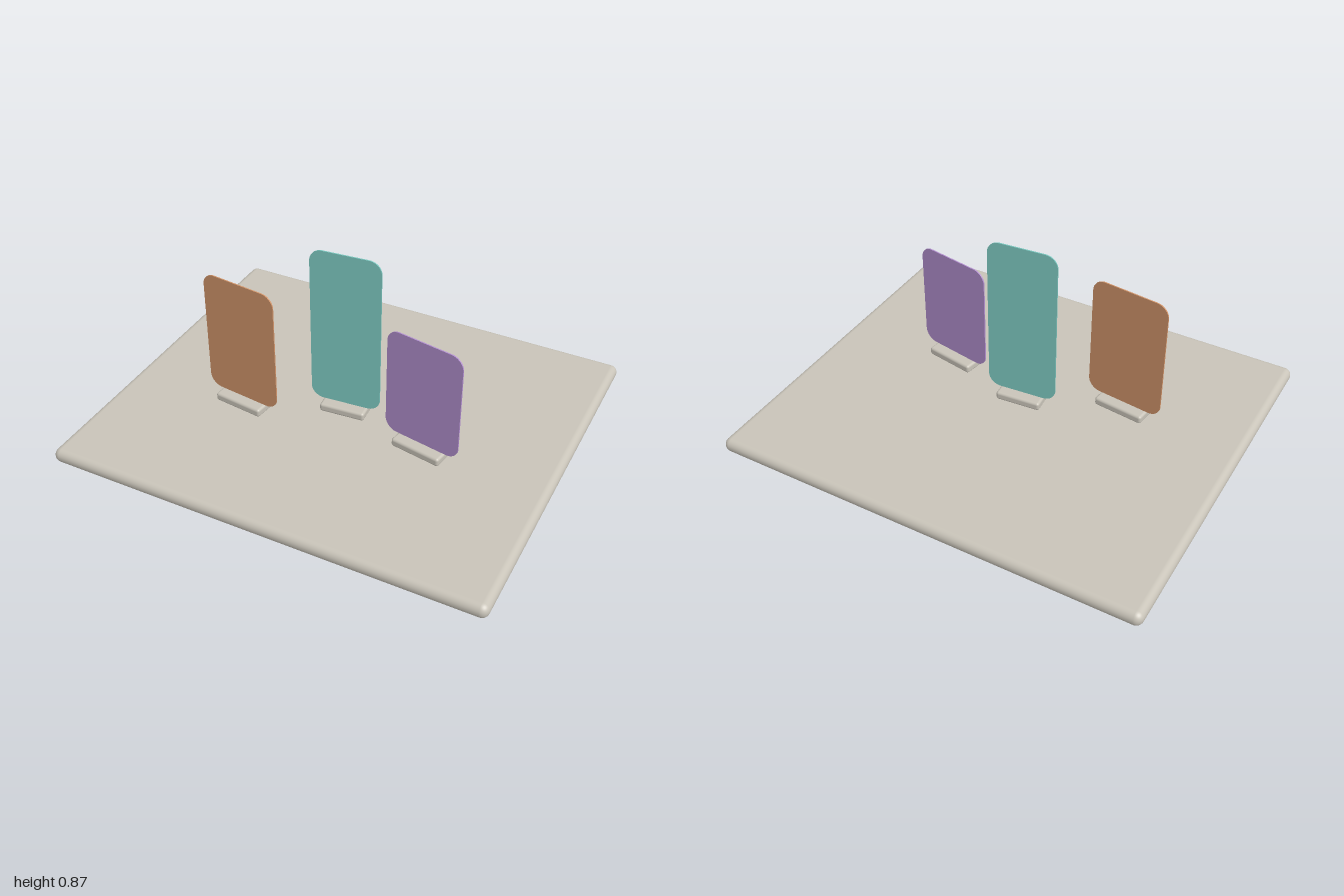
import * as THREE from 'three';
import { RoundedBoxGeometry } from 'three/addons/geometries/RoundedBoxGeometry.js';

const material = (name, color) => {
  const m = new THREE.MeshStandardMaterial({ color });
  m.name = name;
  return m;
};

// Thin upright plate with rounded corners, standing on y = 0
function plateGeometry(w, h, r, t) {
  const s = new THREE.Shape();
  const x = w / 2;
  s.moveTo(-x + r, 0);
  s.lineTo(x - r, 0);
  s.absarc(x - r, r, r, -Math.PI / 2, 0);
  s.absarc(x - r, h - r, r, 0, Math.PI / 2);
  s.absarc(-x + r, h - r, r, Math.PI / 2, Math.PI);
  s.absarc(-x + r, r, r, Math.PI, Math.PI * 1.5);
  const g = new THREE.ExtrudeGeometry(s, { depth: t, bevelEnabled: false, curveSegments: 8 });
  return g.translate(0, 0, -t / 2);
}

export function createModel() {
  const model = new THREE.Group();
  model.name = 'panelDisplay';
  const stone = material('warm grey', 0xc8c3b8);

  // Base slab with fully rounded edges
  const baseH = 0.068;
  const base = new THREE.Mesh(new RoundedBoxGeometry(2, baseH, 1.71, 5, 0.033), stone);
  base.name = 'base';
  base.position.y = baseH / 2;
  model.add(base);

  // Three standing panels, each on its own foot
  const footH = 0.04;
  const panels = [
    { name: 'orangePanel', color: 0xcf9369, x: -0.43, z: 0.196, turn: -0.12, w: 0.37, top: 0.7 },
    { name: 'tealPanel', color: 0x7bc6be, x: 0, z: 0.033, turn: 0.08, w: 0.325, top: 0.872 },
    { name: 'purplePanel', color: 0xb28fce, x: 0.414, z: 0.137, turn: -0.18, w: 0.37, top: 0.628 },
  ];
  for (const p of panels) {
    const stand = new THREE.Group();
    stand.name = p.name + 'Stand';
    stand.position.set(p.x, baseH, p.z);
    stand.rotation.y = p.turn;

    const foot = new THREE.Mesh(new RoundedBoxGeometry(p.w * 0.65, footH, 0.108, 3, 0.012), stone);
    foot.name = 'foot';
    foot.position.y = footH / 2;

    const plate = new THREE.Mesh(
      plateGeometry(p.w, p.top - baseH - footH, 0.058, 0.006),
      material(p.name.replace('Panel', ''), p.color));
    plate.name = p.name;
    plate.position.y = footH;

    stand.add(foot, plate);
    model.add(stand);
  }
  return model;
}
